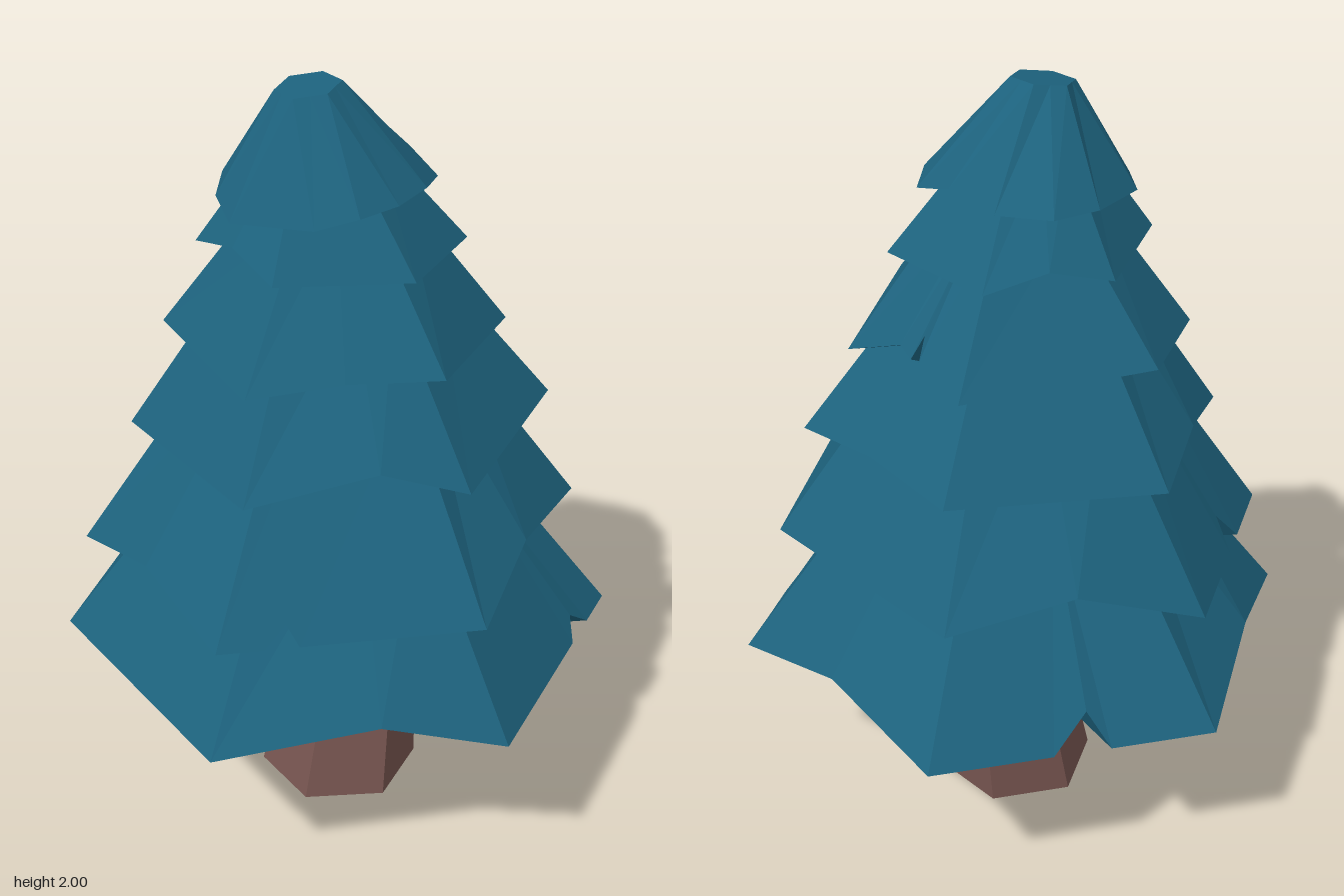
import * as THREE from 'three';

const leafMat = new THREE.MeshStandardMaterial({ color: 0x1d627d, flatShading: true, side: THREE.DoubleSide });
const barkMat = new THREE.MeshStandardMaterial({ color: 0x775550, flatShading: true });
const V = (x, y, z) => new THREE.Vector3(x, y, z);

// Regular ring of six points, starting at the front and turning towards +x
const hexRing = (cx, y, cz, r) => Array.from({ length: 6 }, (_, i) =>
  V(cx + r * Math.sin(i * Math.PI / 3), y, cz + r * Math.cos(i * Math.PI / 3)));

// Point on a six-sided ring at perimeter position t (0..6)
const along = (ring, t) => {
  const i = Math.floor(t);
  return ring[i % 6].clone().lerp(ring[(i + 1) % 6], t - i);
};

const middle = ring => ring.reduce((s, p) => s.add(p), V(0, 0, 0)).divideScalar(ring.length);

function meshFrom(triangles, material, name) {
  const geometry = new THREE.BufferGeometry().setFromPoints(triangles);
  geometry.computeVertexNormals();
  const mesh = new THREE.Mesh(geometry, material);
  mesh.name = name;
  return mesh;
}

// Join two equal rings with outward quads
function band(out, low, high) {
  low.forEach((a, i) => {
    const j = (i + 1) % low.length;
    out.push(a, low[j], high[j], a, high[j], high[i]);
  });
}

// Fan that closes a ring, facing up or down
function cap(out, ring, centre, up) {
  ring.forEach((a, i) => {
    const b = ring[(i + 1) % ring.length];
    out.push(...(up ? [a, b, centre] : [a, centre, b]));
  });
}

// Rim entries are [t, lift, inward shift, anchor on the top ring]
const raise = (t, lift, inward = 0) => [t, lift, inward];
const notch = (t0, t1, t2, lift, inward, base = 0) =>
  [[t0, base, 0, t1], [t1, lift, inward, t1], [t2, base, 0, t1]];

// Skirt of branches with a flat lower lip and a hollow inside
function tier(name, corners, top, extras) {
  const spots = [0, 1, 2, 3, 4, 5].map(t => raise(t, 0)).concat(extras).sort((a, b) => a[0] - b[0]);
  const centre = middle(corners);
  const size = corners[0].z;
  const rim = spots.map(([t, lift, inward]) => {
    const p = along(corners, t);
    const dir = V(centre.x - p.x, 0, centre.z - p.z).normalize();
    return p.addScaledVector(dir, inward).add(V(0, lift, 0));
  });
  const upper = spots.map(([t, , , anchor = t]) => along(top, anchor));
  // Inner edge of the lip; notches do not reach it
  const lip = spots.map(([t, lift, , anchor]) => {
    const p = along(corners, t);
    const lipLift = anchor === undefined ? lift * 0.9 : 0;
    return V(0, p.y + lipLift - 0.008, 0).add(p.lerp(centre, 0.33).setY(0));
  });
  const ceiling = spots.map(([t]) => along(corners, t).lerp(centre, 0.55).setY(centre.y + 0.3 * size));
  const tris = [];
  band(tris, rim, upper);
  band(tris, lip, rim);
  band(tris, ceiling, lip);
  cap(tris, ceiling, V(centre.x, centre.y + 0.32 * size, centre.z), false);
  cap(tris, upper, middle(top), true);
  return meshFrom(tris, leafMat, name);
}

export function createModel() {
  const tree = new THREE.Group();
  tree.name = 'pineTree';

  // Bent six-sided trunk
  const rings = [hexRing(0, 0, 0, 0.215), hexRing(0.05, 0.36, 0, 0.178), hexRing(0.01, 0.74, 0, 0.14)];
  const trunk = [];
  band(trunk, rings[0], rings[1]);
  band(trunk, rings[1], rings[2]);
  cap(trunk, rings[0], middle(rings[0]), false);
  cap(trunk, rings[2], middle(rings[2]), true);
  tree.add(meshFrom(trunk, barkMat, 'trunk'));

  // Branch tiers from the ground up
  tree.add(tier('lowestBranches', hexRing(0, 0.5, 0, 0.73), hexRing(0, 1.0, 0, 0.35), [
    ...notch(0.66, 0.74, 0.82, 0.05, 0.03), raise(1.5, 0.09),
    ...notch(2.43, 2.56, 2.63, 0.09, 0.045), raise(3.5, 0.085), raise(5.57, 0.075),
  ]));

  tree.add(tier('secondBranches',
    [V(-0.02, 0.81, 0.65), V(0.54, 0.85, 0.31), V(0.54, 0.845, -0.33),
      V(-0.02, 0.8, -0.655), V(-0.58, 0.77, -0.33), V(-0.58, 0.77, 0.32)],
    hexRing(-0.01, 1.3, 0, 0.3), [
      raise(0.42, 0.08), raise(2.5, 0.085), ...notch(3.5, 3.57, 3.65, 0.08, 0.05),
      raise(4.5, 0.08), ...notch(5.18, 5.25, 5.31, 0.05, 0.03),
    ]));

  tree.add(tier('thirdBranches',
    [V(0.01, 1.12, 0.535), V(0.475, 1.145, 0.265), V(0.475, 1.14, -0.26),
      V(0.01, 1.12, -0.545), V(-0.455, 1.1, -0.275), V(-0.455, 1.1, 0.26)],
    hexRing(-0.01, 1.52, 0, 0.245), [raise(1.5, 0.03), raise(3.5, 0.05), raise(5.6, 0.07)]));

  tree.add(tier('fourthBranches',
    [V(0, 1.385, 0.44), V(0.375, 1.355, 0.2), V(0.37, 1.355, -0.2),
      V(-0.05, 1.39, -0.44), V(-0.35, 1.36, -0.27), V(-0.405, 1.35, 0.2)],
    hexRing(-0.02, 1.71, 0, 0.17), [
      raise(1.5, 0.085), ...notch(1.59, 1.63, 1.66, 0.115, 0.035, 0.06), raise(5.5, 0.015),
    ]));

  tree.add(tier('fifthBranches',
    [V(-0.01, 1.595, 0.33), V(0.265, 1.59, 0.17), V(0.265, 1.59, -0.17),
      V(-0.01, 1.595, -0.33), V(-0.305, 1.6, -0.17), V(-0.305, 1.6, 0.17)],
    hexRing(-0.05, 1.85, 0, 0.13), [raise(2.5, 0.04), raise(4.5, 0.04)]));

  // Blunt, slightly tilted tip
  const tip = hexRing(-0.08, 1.99, -0.01, 0.08);
  tip.forEach(p => { p.y += (p.x + 0.08) * 0.14; });
  tree.add(tier('treeTop',
    [V(0, 1.755, 0.245), V(0.2, 1.75, 0.13), V(0.18, 1.75, -0.12),
      V(-0.02, 1.75, -0.265), V(-0.28, 1.73, -0.11), V(-0.2, 1.72, 0.19)],
    tip, [
      raise(0.5, 0.01, -0.02), raise(1.5, 0.035, -0.02), raise(2.5, 0, -0.05),
      raise(3.55, 0, -0.05), raise(4.42, -0.015, -0.075), raise(5.5, 0.01, -0.03),
    ]));

  return tree;
}
